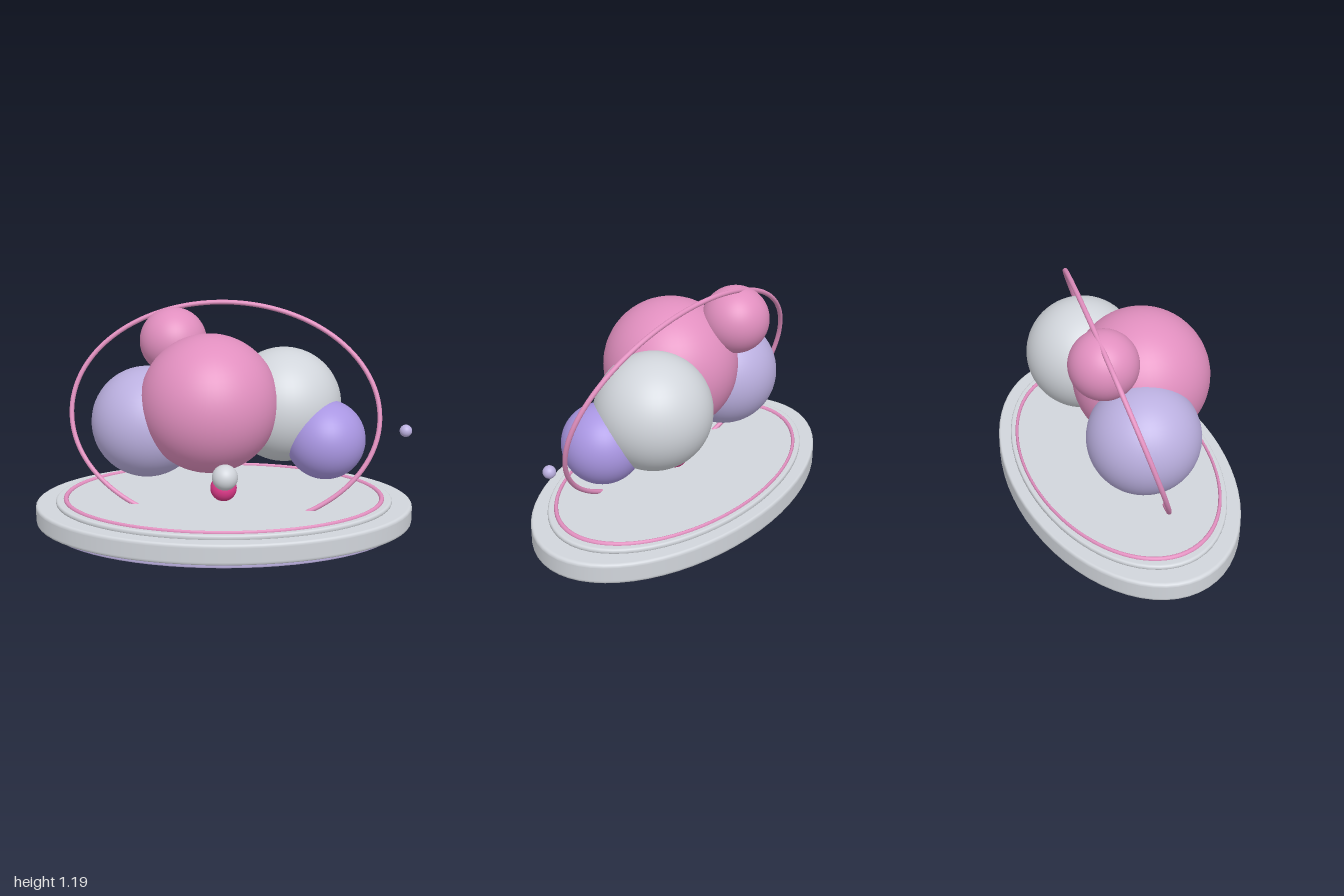
import * as THREE from 'three';

const mat = (name, color) => {
  const m = new THREE.MeshStandardMaterial({ color });
  m.name = name;
  return m;
};

// Closed ellipse: centre + a cos t + b sin t
class EllipseLoop extends THREE.Curve {
  constructor(center, a, b) {
    super();
    Object.assign(this, { center, a, b });
  }
  getPoint(t, target = new THREE.Vector3()) {
    const w = t * Math.PI * 2;
    return target.copy(this.center)
      .addScaledVector(this.a, Math.cos(w))
      .addScaledVector(this.b, Math.sin(w));
  }
}

// Lathe disc with rounded rims, from y0 to y1
function discGeometry(radius, y0, y1, bevel) {
  const pts = [new THREE.Vector2(0, y0), new THREE.Vector2(radius - bevel - 0.004, y0)];
  const r = radius - bevel, steps = 4;
  for (let i = 0; i <= steps; i++) {
    const a = -Math.PI / 2 + (i / steps) * Math.PI / 2;
    pts.push(new THREE.Vector2(r + bevel * Math.cos(a), y0 + bevel + bevel * Math.sin(a)));
  }
  pts.push(new THREE.Vector2(radius, y0 + bevel + 0.002));
  pts.push(new THREE.Vector2(radius, y1 - bevel - 0.002));
  for (let i = 0; i <= steps; i++) {
    const a = (i / steps) * Math.PI / 2;
    pts.push(new THREE.Vector2(r + bevel * Math.cos(a), y1 - bevel + bevel * Math.sin(a)));
  }
  pts.push(new THREE.Vector2(r - 0.004, y1), new THREE.Vector2(0, y1));
  return new THREE.LatheGeometry(pts, 64);
}

export function createModel() {
  const model = new THREE.Group();
  const pink = mat('pink', 0xe18fbf);
  const grey = mat('silver grey', 0xd1d5db);
  const lavender = mat('lavender', 0xbbb0e0);
  const violet = mat('violet', 0xa996e2);
  const magenta = mat('magenta', 0xdf3a8a);

  const add = (parent, name, geometry, material) => {
    const mesh = new THREE.Mesh(geometry, material);
    mesh.name = name;
    parent.add(mesh);
    return mesh;
  };

  // Oval stepped base
  const base = new THREE.Group();
  base.name = 'base';
  base.scale.z = 0.585;
  model.add(base);
  add(base, 'footPlate', discGeometry(0.94, 0, 0.04, 0.008), lavender);
  add(base, 'mainPlate', discGeometry(1, 0.03, 0.14, 0.016), grey);
  add(base, 'topPlate', discGeometry(0.893, 0.135, 0.163, 0.012), grey);
  const trim = add(base, 'trimRing', new THREE.TorusGeometry(0.838, 0.013, 12, 96), pink);
  trim.rotation.x = Math.PI / 2;
  trim.position.y = 0.163;

  // Tilted oval hoop, its lowest part sunk into the base
  const loop = new EllipseLoop(
    new THREE.Vector3(0, 0.62, 0),
    new THREE.Vector3(0.802, 0, 0.085),
    new THREE.Vector3(0.015, 0.56, -0.175));
  add(model, 'hoop', new THREE.TubeGeometry(loop, 128, 0.0125, 12, true), pink);

  // Cluster of balls: name, x, y, z, radius, material
  const balls = [
    ['mainBall', -0.075, 0.72, 0.115, 0.355, pink],
    ['upperBall', -0.265, 0.977, -0.161, 0.176, pink],
    ['greyBall', 0.315, 0.66, -0.065, 0.3, grey],
    ['lavenderBall', -0.4, 0.586, 0, 0.289, lavender],
    ['violetBall', 0.524, 0.519, 0.096, 0.206, violet],
    ['smallGreyBall', 0.005, 0.416, 0.379, 0.065, grey],
    ['magentaBall', -0.002, 0.227, 0.038, 0.07, magenta],
    ['tinyBall', 0.94, 0.558, 0.076, 0.032, lavender],
  ];
  for (const [name, x, y, z, r, material] of balls) {
    add(model, name, new THREE.SphereGeometry(r, 48, 32), material).position.set(x, y, z);
  }
  return model;
}
